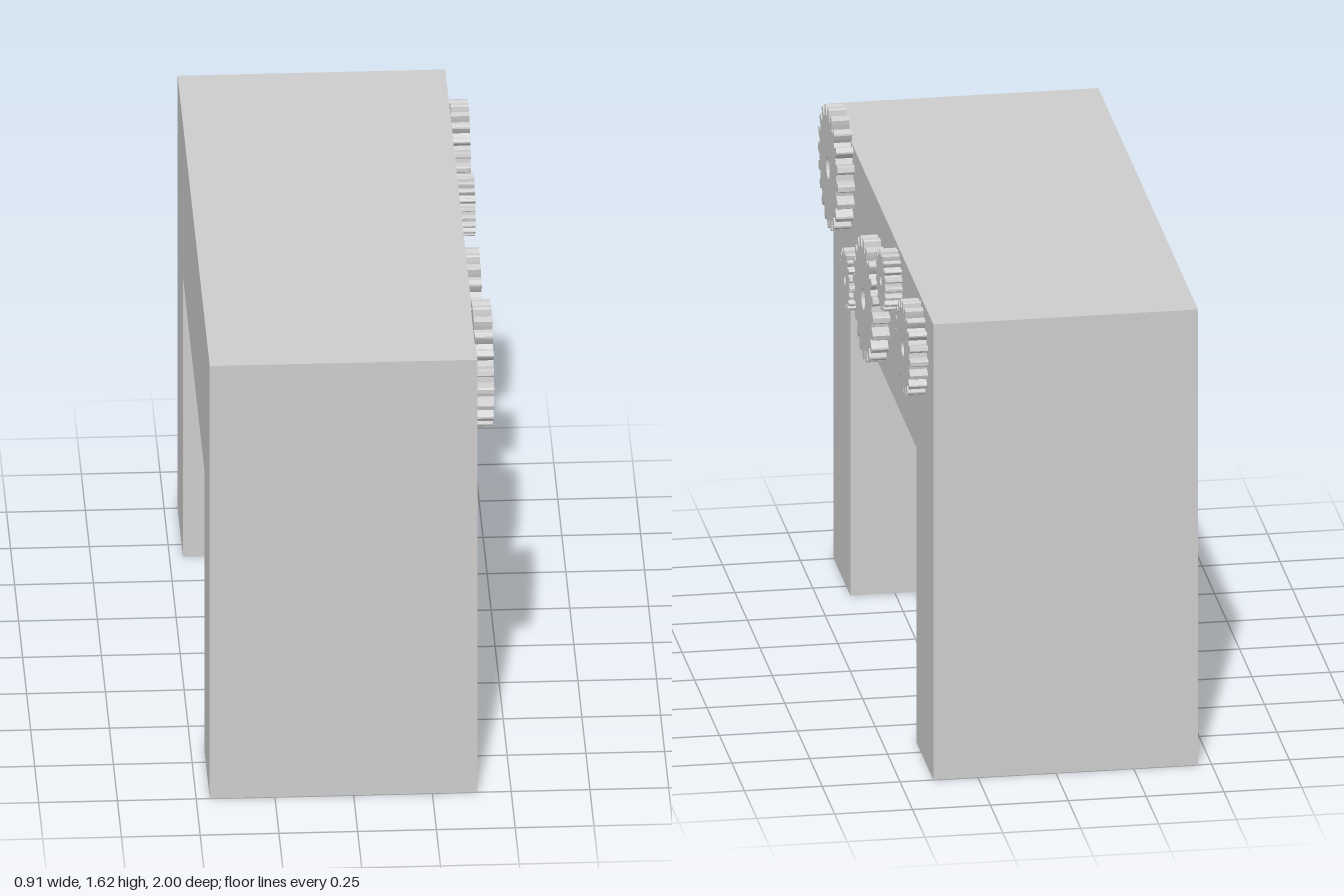
import * as THREE from 'three';

const LEFT = 0.393, RIGHT = -0.457; // x of the two side walls
const TEETH = 20;

// Arch outline as [z, y]; the first and last legs stay open at the floor
const ARCH = [[1, 0], [1, 1.545], [-1, 1.545], [-1, 0], [-0.665, 0], [-0.665, 1], [0.665, 1], [0.665, 0]];

// Gears: centre z, centre y, tip radius, x of the back face
const GEARS = [
  [0.772, 1.415, 0.202, 0.39],
  [0.436, 1.163, 0.1, 0.39],
  [0.066, 1.235, 0.202, 0.39],
  [-0.286, 1.431, 0.1, 0.39],
  [-0.77, 1.384, 0.155, 0.397],
];

// Side wall in the shape of the arch
function sideWall(x) {
  const shape = new THREE.Shape(ARCH.map(([z, y]) => new THREE.Vector2(-z, y)));
  const g = new THREE.ShapeGeometry(shape);
  g.rotateY(Math.PI / 2);
  g.translate(x, 0, 0);
  if (x < 0) { // turn the far wall outward
    const idx = Array.from(g.index.array);
    g.setIndex(idx.reverse());
    g.computeVertexNormals();
  }
  return g;
}

// Flat panel spanning the width along one edge of the arch
function panel([z0, y0], [z1, y1]) {
  const g = new THREE.BufferGeometry();
  const pos = [LEFT, y0, z0, LEFT, y1, z1, RIGHT, y1, z1, RIGHT, y0, z0];
  g.setAttribute('position', new THREE.Float32BufferAttribute(pos, 3));
  g.setIndex([0, 1, 2, 0, 2, 3]);
  g.computeVertexNormals();
  return g;
}

// Spur gear with tapered teeth and a bore, lying against the left wall
function gearGeometry(r) {
  const pitch = (Math.PI * 2) / TEETH, root = r * 0.83;
  // one tooth: [angle as a fraction of the pitch, radius]
  const tooth = [[-0.32, root], [-0.27, r * 0.9], [-0.2, r * 0.98], [-0.13, r],
    [0.13, r], [0.2, r * 0.98], [0.27, r * 0.9], [0.32, root]];
  const pts = [];
  for (let i = 0; i < TEETH; i++) {
    for (const [f, rad] of tooth) {
      const a = Math.PI / 2 + (i + f) * pitch;
      pts.push(new THREE.Vector2(Math.cos(a) * rad, Math.sin(a) * rad));
    }
  }
  const shape = new THREE.Shape(pts);
  shape.holes.push(new THREE.Path().absarc(0, 0, r * 0.18, 0, Math.PI * 2, true));
  const g = new THREE.ExtrudeGeometry(shape, { depth: 0.058, bevelEnabled: false, curveSegments: 12 });
  return g.rotateY(Math.PI / 2);
}

export function createModel() {
  const model = new THREE.Group();
  const shellMat = new THREE.MeshStandardMaterial({ color: 0xcccccc, side: THREE.DoubleSide });
  const gearMat = new THREE.MeshStandardMaterial({ color: 0xcccccc, flatShading: true });
  const add = (parent, name, geometry, material) => {
    const mesh = new THREE.Mesh(geometry, material);
    mesh.name = name;
    parent.add(mesh);
    return mesh;
  };

  // Hollow arch body, open under both legs
  const body = new THREE.Group();
  body.name = 'archBody';
  add(body, 'leftWall', sideWall(LEFT), shellMat);
  add(body, 'rightWall', sideWall(RIGHT), shellMat);
  const panels = { frontPanel: 0, topPanel: 1, backPanel: 2, backLegInner: 4, beamUnderside: 5, frontLegInner: 6 };
  for (const [name, i] of Object.entries(panels)) add(body, name, panel(ARCH[i], ARCH[i + 1]), shellMat);
  model.add(body);

  // Row of gears on the left wall
  const gears = new THREE.Group();
  gears.name = 'gears';
  GEARS.forEach(([z, y, r, x], i) => {
    add(gears, `gear${i + 1}`, gearGeometry(r), gearMat).position.set(x, y, z);
  });
  model.add(gears);

  return model;
}
